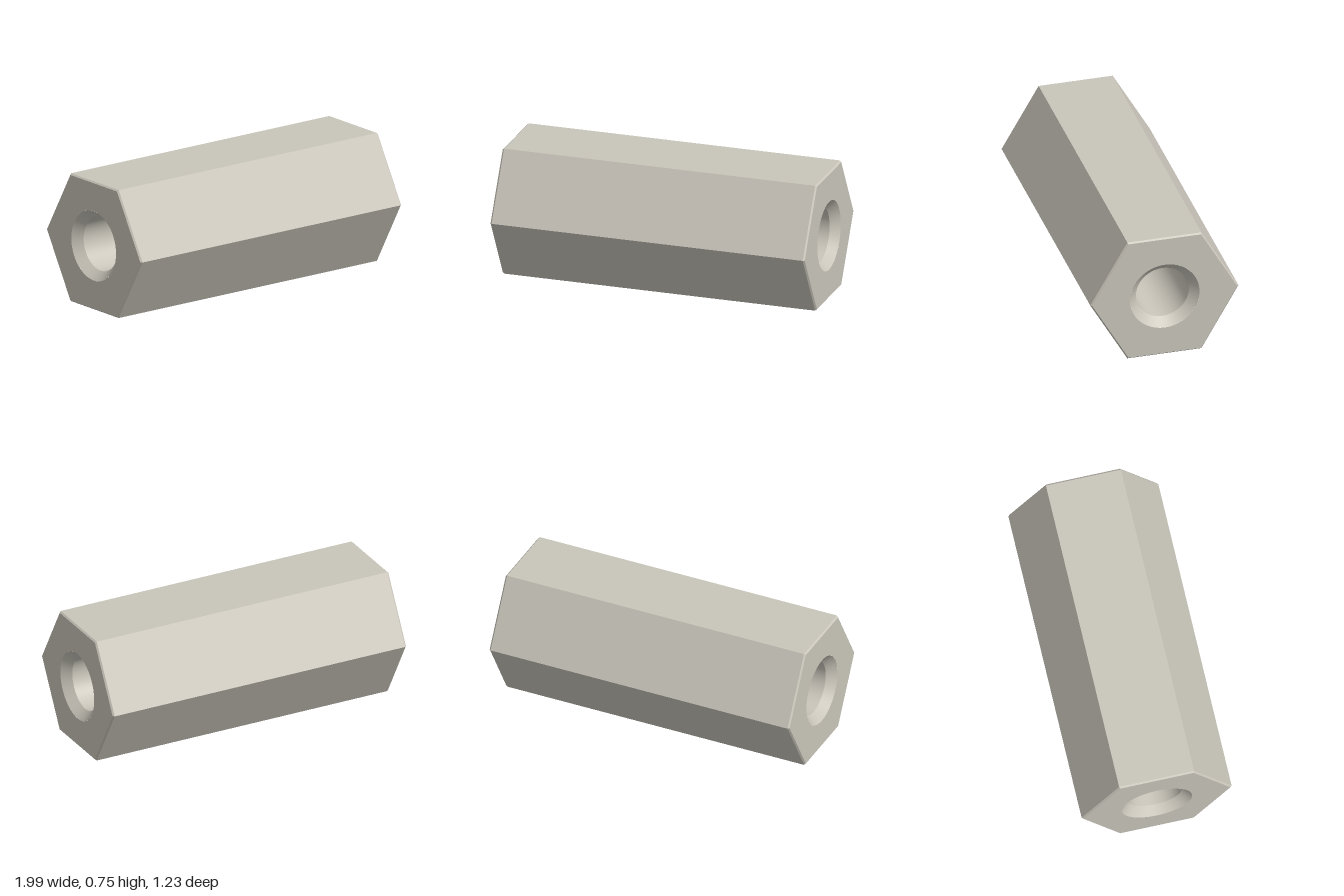
import * as THREE from 'three';

const LENGTH = 1.86, HALF = LENGTH / 2;
const HEX_R = 0.431, CHAMFER = 0.009;
const BORE_R = 0.154, SINK_R = 0.202, SINK_DEPTH = 0.05;
const ROUND = 64;

// Band swept around y between two [radius, y] points; falling y faces inward.
function band(a, b, sides) {
  const geo = new THREE.LatheGeometry([new THREE.Vector2(...a), new THREE.Vector2(...b)], sides);
  if (sides > 6) return geo;
  const flat = geo.toNonIndexed();
  flat.computeVertexNormals();
  return flat;
}

// Hexagonal end face with a round opening, facing +y.
function endFaceGeometry() {
  const shape = new THREE.Shape();
  const r = HEX_R - CHAMFER;
  for (let i = 0; i < 6; i++) {
    const a = (i / 6) * Math.PI * 2;
    shape[i ? 'lineTo' : 'moveTo'](r * Math.sin(a), r * Math.cos(a));
  }
  shape.closePath();
  const hole = new THREE.Path();
  hole.absarc(0, 0, SINK_R, 0, Math.PI * 2, false);
  shape.holes.push(hole);
  return new THREE.ShapeGeometry(shape, ROUND).rotateX(-Math.PI / 2).translate(0, HALF, 0);
}

export function createModel() {
  const metal = new THREE.MeshStandardMaterial({ color: 0xc9c5ba });
  metal.name = 'satinMetal';

  const model = new THREE.Group();
  model.name = 'hexStandoff';
  const add = (parent, name, geo) => {
    const mesh = new THREE.Mesh(geo, metal);
    mesh.name = name;
    parent.add(mesh);
  };

  // Everything is built along y, then laid down and turned
  const spacer = new THREE.Group();
  spacer.name = 'spacer';
  const shoulder = HALF - CHAMFER, boreEnd = HALF - SINK_DEPTH;
  add(spacer, 'hexBody', band([HEX_R, -shoulder], [HEX_R, shoulder], 6));
  add(spacer, 'bore', band([BORE_R, boreEnd], [BORE_R, -boreEnd], ROUND));

  // Two identical ends
  for (const [name, turn] of [['leftEnd', 0], ['rightEnd', Math.PI]]) {
    const end = new THREE.Group();
    end.name = name;
    add(end, 'edgeChamfer', band([HEX_R, shoulder], [HEX_R - CHAMFER, HALF], 6));
    add(end, 'endFace', endFaceGeometry());
    add(end, 'countersink', band([SINK_R, HALF], [BORE_R, boreEnd], ROUND));
    end.rotation.z = turn;
    spacer.add(end);
  }
  spacer.rotation.z = -Math.PI / 2;

  const turned = new THREE.Group();
  turned.name = 'turnedSpacer';
  turned.add(spacer);
  turned.rotation.y = THREE.MathUtils.degToRad(-12);
  turned.position.y = HEX_R * Math.cos(Math.PI / 6);
  model.add(turned);
  return model;
}
